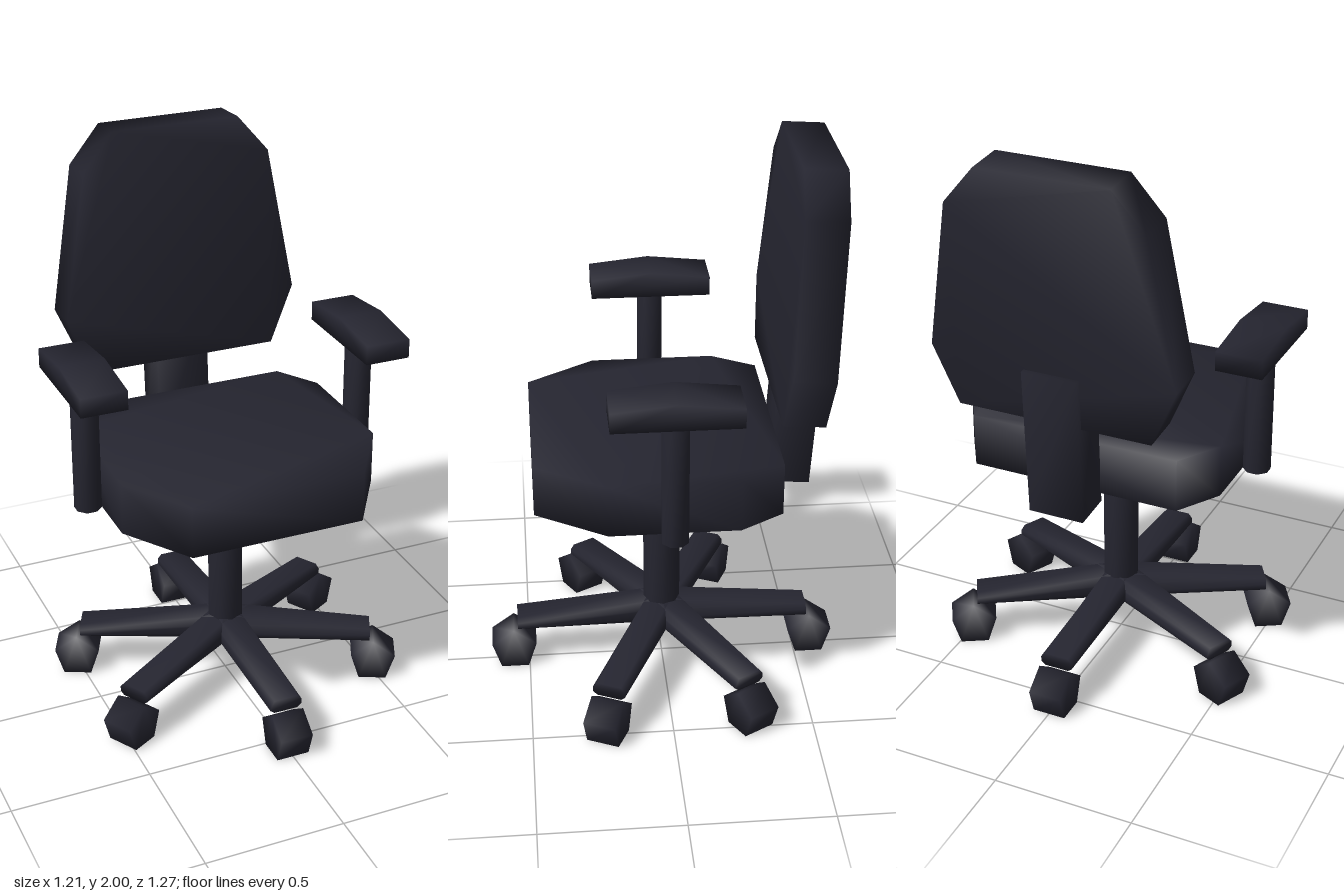
import * as THREE from 'three';
import { mergeVertices } from 'three/addons/utils/BufferGeometryUtils.js';

const fabric = new THREE.MeshStandardMaterial({ color: 0x252530 });
fabric.name = 'charcoal';

// Shares corner vertices so the shading runs softly across edges
function soften(geometry) {
  geometry.deleteAttribute('normal');
  geometry.deleteAttribute('uv');
  const merged = mergeVertices(geometry, 1e-4);
  merged.computeVertexNormals();
  return merged;
}

// Extrudes an outline, centred on its depth
function prism(points, depth) {
  const shape = new THREE.Shape(points.map(([x, y]) => new THREE.Vector2(x, y)));
  return new THREE.ExtrudeGeometry(shape, { depth, bevelEnabled: false }).translate(0, 0, -depth / 2);
}

function mirrorOutline(half) {
  return [...half, ...half.slice().reverse().map(([x, y]) => [-x, y])];
}

function part(name, geometry) {
  const mesh = new THREE.Mesh(soften(geometry), fabric);
  mesh.name = name;
  return mesh;
}

// Sloping arm of the base with a five-sided caster at its end
function baseLeg() {
  const leg = new THREE.Group();
  leg.name = 'baseLeg';
  const arm = prism(mirrorOutline([[0.045, 0], [0.06, 0.25], [0.06, 0.65], [0.045, 1]]), 0.54);
  arm.translate(0, 0, 0.27);
  const p = arm.attributes.position;
  for (let i = 0; i < p.count; i++) {
    const t = p.getZ(i) / 0.54;
    const bottom = 0.16 - 0.005 * t;
    const top = 0.255 - 0.05 * t;
    p.setY(i, bottom + (top - bottom) * p.getY(i));
  }
  leg.add(part('baseArm', arm));

  const outline = [];
  for (let i = 0; i < 5; i++) {
    const a = Math.PI / 2 + i * Math.PI * 2 / 5;
    outline.push([0.086 * Math.cos(a), 0.0696 + 0.086 * Math.sin(a)]);
  }
  leg.add(part('caster', prism(outline, 0.12).rotateY(-Math.PI / 2).translate(0, 0, 0.555)));
  return leg;
}

export function createModel() {
  const chair = new THREE.Group();
  chair.name = 'officeChair';

  // Star base
  for (const degrees of [0, 65, 120, 180, 245, 300]) {
    const leg = baseLeg();
    leg.rotation.y = THREE.MathUtils.degToRad(degrees);
    chair.add(leg);
  }
  chair.add(part('column', new THREE.CylinderGeometry(0.067, 0.067, 0.66, 8).translate(0, 0.49, 0)));

  // Seat cushion
  const seat = prism(mirrorOutline([[0.315, 0.465], [0.475, 0.22], [0.475, -0.23], [0.38, -0.385]]), 0.19);
  chair.add(part('seat', seat.rotateX(Math.PI / 2).translate(0, 0.905, 0)));

  // Leaning backrest and its support bar
  const lean = -0.065;
  const back = prism(mirrorOutline([[0.35, 0], [0.44, 0.21], [0.35, 0.735], [0.235, 0.87]]), 0.147);
  chair.add(part('backrest', back.translate(0, 0, -0.0735).rotateX(lean).translate(0, 1.132, -0.378)));
  const bar = new THREE.BoxGeometry(0.2, 0.54, 0.145).translate(0, 0.27, -0.0725);
  chair.add(part('backSupport', bar.rotateX(lean).translate(0, 0.775, -0.376)));

  // Armrests
  for (const [side, name] of [[1, 'left'], [-1, 'right']]) {
    const post = new THREE.CylinderGeometry(0.0485, 0.0485, 0.47, 8).rotateY(Math.PI / 8);
    chair.add(part(name + 'ArmPost', post.translate(side * 0.52, 1.045, 0)));
    const pad = prism([[-0.218, 1.27], [0.218, 1.27], [0.218, 1.34], [0, 1.363], [-0.218, 1.34]], 0.165);
    chair.add(part(name + 'ArmPad', pad.rotateY(Math.PI / 2).translate(side * 0.522, 0, 0)));
  }
  return chair;
}
